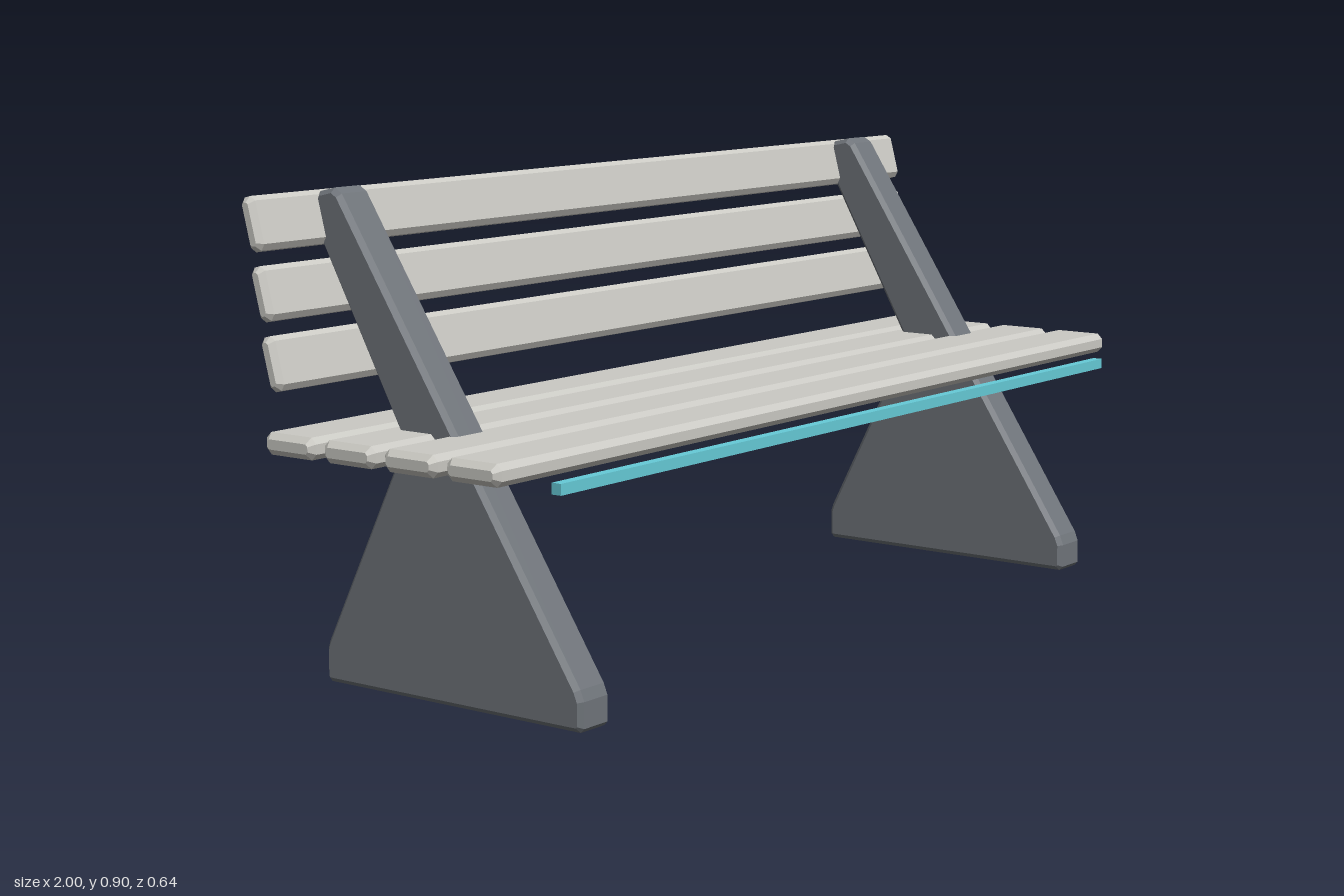
import * as THREE from 'three';

const slatMat = new THREE.MeshStandardMaterial({ color: 0xcbcac4 });
const supportMat = new THREE.MeshStandardMaterial({ color: 0x6f747a });
const stripMat = new THREE.MeshStandardMaterial({ color: 0x66cbd8 });

// Extrude a [z, y] outline along x, centred, with chamfered end edges
function extrudeAlongX(outline, length, bevel) {
  const shape = new THREE.Shape(outline.map(([z, y]) => new THREE.Vector2(-z, y)));
  const geo = new THREE.ExtrudeGeometry(shape, {
    depth: length - 2 * bevel,
    bevelEnabled: true,
    bevelThickness: bevel,
    bevelSize: bevel,
    bevelOffset: -bevel,
    bevelSegments: 1,
  });
  geo.translate(0, 0, -(length - 2 * bevel) / 2);
  return geo.rotateY(Math.PI / 2);
}

// Long plank with every edge chamfered
function plankGeometry(depth, height, length, c) {
  const z = depth / 2, y = height / 2;
  return extrudeAlongX([
    [z, -y + c], [z, y - c], [z - c, y], [-z + c, y],
    [-z, y - c], [-z, -y + c], [-z + c, -y], [z - c, -y],
  ], length, c);
}

export function createModel() {
  const bench = new THREE.Group();
  bench.name = 'bench';

  function add(name, geo, mat, x, y, z) {
    const mesh = new THREE.Mesh(geo, mat);
    mesh.name = name;
    mesh.position.set(x, y, z);
    bench.add(mesh);
    return mesh;
  }

  // Side supports: triangular foot narrowing to a leaning back post
  const supportGeo = extrudeAlongX([
    [0.302, 0], [0.31, 0.008], [0.31, 0.055], [0.302, 0.075],
    [-0.233, 0.888], [-0.25, 0.898], [-0.285, 0.89], [-0.296, 0.875],
    [-0.288, 0.815], [-0.279, 0.796],
    [-0.102, 0.48], [-0.096, 0.45],
    [-0.285, 0.075], [-0.29, 0.06], [-0.29, 0.008], [-0.282, 0],
  ], 0.08, 0.009);
  add('leftSupport', supportGeo, supportMat, 0.8, 0, 0);
  add('rightSupport', supportGeo, supportMat, -0.8, 0, 0);

  // Seat slats
  const seatGeo = plankGeometry(0.12, 0.04, 2, 0.011);
  for (let i = 0; i < 4; i++) {
    add('seatSlat' + (i + 1), seatGeo, slatMat, 0, 0.462, 0.211 - i * 0.141);
  }

  // Backrest slats, leaning backwards
  const backGeo = plankGeometry(0.034, 0.097, 2, 0.01);
  for (let i = 0; i < 3; i++) {
    const slat = add('backSlat' + (i + 1), backGeo, slatMat, 0, 0.602 + i * 0.1205, -0.251 - i * 0.0203);
    slat.rotation.x = -0.26;
  }

  // Light strip below the front of the seat
  add('lightStrip', new THREE.BoxGeometry(1.8, 0.02, 0.02), stripMat, 0, 0.432, 0.311);

  return bench;
}
